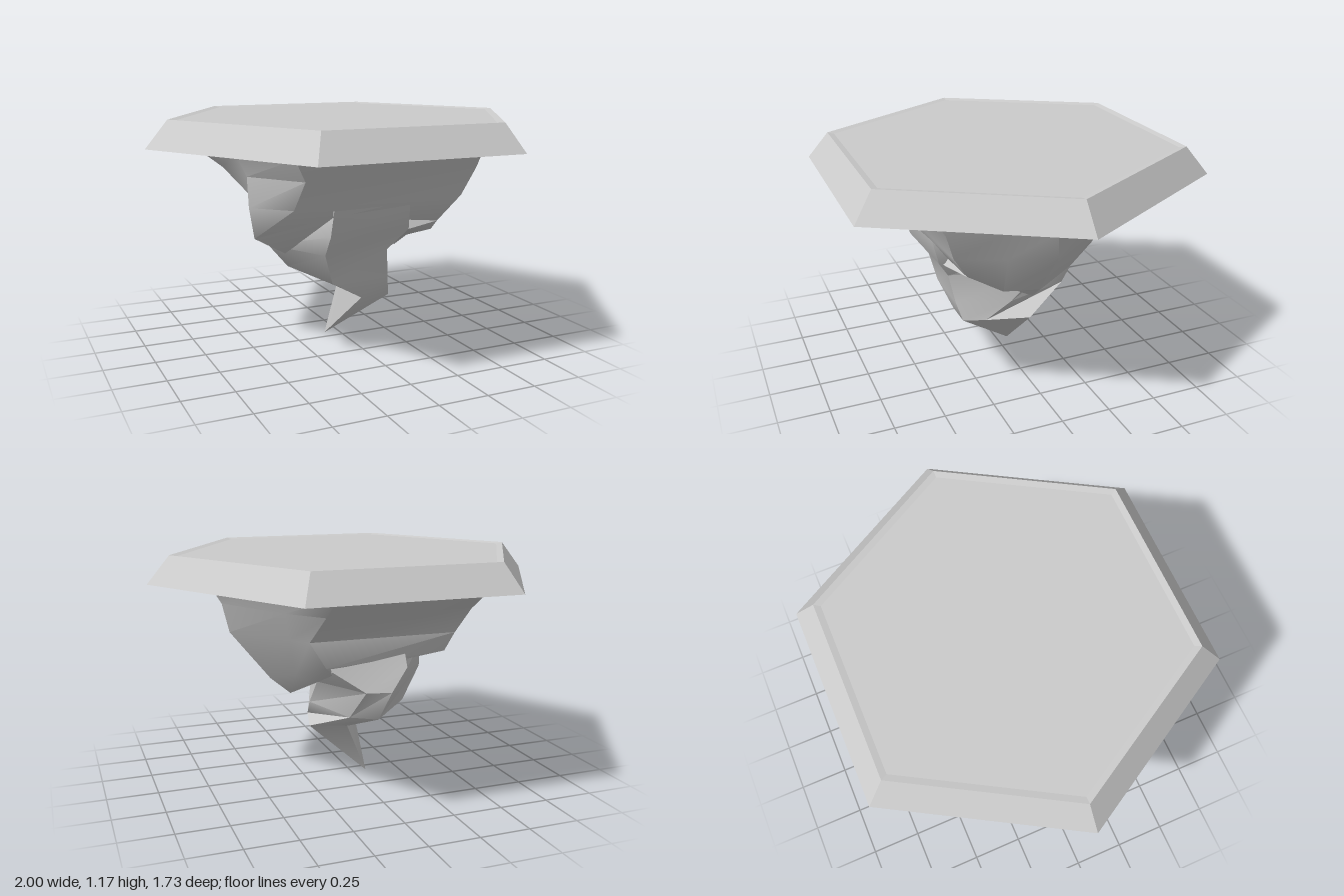
import * as THREE from 'three';
import { toCreasedNormals } from 'three/addons/utils/BufferGeometryUtils.js';

// Skin between rings of corners listed from top to bottom, closed by a fan to an end point
function loft(rows, end) {
  const n = rows[0].length;
  const index = [];
  for (let i = 0; i < rows.length; i++) {
    for (let j = 0; j < n; j++) {
      const a = i * n + j, b = i * n + (j + 1) % n;
      if (i === rows.length - 1) index.push(a, rows.length * n, b);
      else index.push(a, a + n, b, b, a + n, b + n);
    }
  }
  const g = new THREE.BufferGeometry();
  g.setAttribute('position', new THREE.Float32BufferAttribute([...rows.flat(2), ...end], 3));
  g.setIndex(index);
  return toCreasedNormals(g, 0.75);
}

// Ring of [x, z] corners at one height
const ring = (y, pts) => pts.map(([x, z]) => [x, y, z]);

export function createModel() {
  const group = new THREE.Group();
  const add = (name, geometry, options = {}) => {
    const mesh = new THREE.Mesh(geometry, new THREE.MeshStandardMaterial({ color: 0xcccccc, ...options }));
    mesh.name = name;
    group.add(mesh);
  };

  // Bevelled hexagonal slab with a very shallow sunken top
  const profile = [[0, 1.04], [1, 1.04], [0.89, 1.173], [0.855, 1.167], [0, 1.167]];
  add('hexagonSlab', new THREE.LatheGeometry(
    profile.map(([r, y]) => new THREE.Vector2(r, y)), 6, Math.PI / 2), { flatShading: true });

  // Rock bowl, corners running front left, right, back, left, hanging lump;
  // the last two rows are its lower crease and its pointed rim
  add('rockBowl', loft([
    ring(1.04, [[-0.5, 0.62], [0.5, 0.54], [0.63, 0.25], [0.72, -0.03], [0.47, -0.42],
      [0.29, -0.68], [-0.44, -0.68], [-0.76, -0.06], [-0.66, 0.28]]),
    ring(0.93, [[-0.43, 0.56], [0.5, 0.47], [0.58, 0.23], [0.65, 0], [0.44, -0.37],
      [0.3, -0.54], [-0.42, -0.54], [-0.62, -0.04], [-0.61, 0.3]]),
    ring(0.79, [[-0.45, 0.47], [0.45, 0.42], [0.55, 0.2], [0.62, -0.02], [0.4, -0.3],
      [0.33, -0.39], [-0.41, -0.4], [-0.5, 0], [-0.61, 0.32]]),
    [[-0.25, 0.74, 0.45], [0.37, 0.65, 0.33], [0.43, 0.57, 0.17], [0.42, 0.54, -0.02], [0.35, 0.6, -0.22],
      [0.25, 0.66, -0.39], [-0.36, 0.7, -0.39], [-0.45, 0.66, 0], [-0.58, 0.64, 0.3]],
    [[-0.25, 0.75, 0.38], [0.16, 0.63, 0.38], [0.27, 0.56, 0.2], [0.32, 0.455, -0.03], [0.27, 0.55, -0.24],
      [0.2, 0.62, -0.36], [-0.25, 0.68, -0.36], [-0.34, 0.62, 0.05], [-0.41, 0.54, 0.24]],
  ], [0, 0.66, 0]), { side: THREE.DoubleSide });

  // Twisted root growing out of the bowl and narrowing to a point
  add('twistedRoot', loft([
    ring(0.77, [[-0.25, 0.46], [0.16, 0.43], [0.25, -0.15], [0.28, -0.36], [-0.15, -0.36], [-0.35, 0]]),
    ring(0.64, [[-0.25, 0.42], [0.17, 0.4], [0.23, -0.18], [0.22, -0.39], [-0.15, -0.42], [-0.41, 0]]),
    ring(0.53, [[-0.24, 0.33], [0.09, 0.33], [0.21, -0.13], [0.06, -0.42], [-0.06, -0.45], [-0.41, 0]]),
    ring(0.38, [[-0.19, 0.3], [0.11, 0.3], [0.2, 0.03], [0.1, -0.3], [-0.02, -0.38], [-0.27, -0.1]]),
    ring(0.28, [[-0.02, 0.27], [0.13, 0.27], [0.17, 0.16], [0.23, -0.06], [0.05, -0.13], [-0.05, 0.03]]),
  ], [-0.08, 0, -0.06]), { side: THREE.DoubleSide });

  return group;
}
